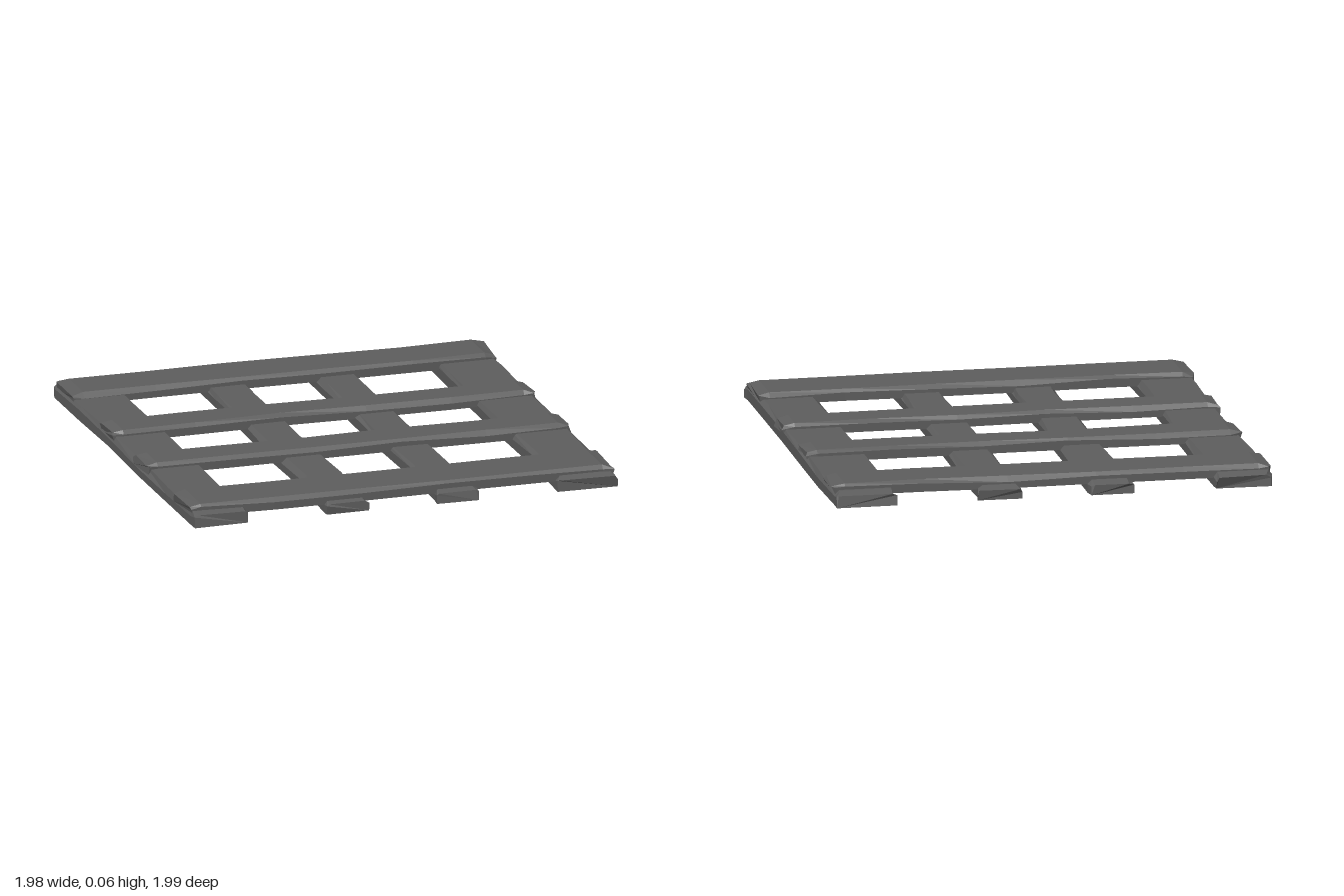
import * as THREE from 'three';

const material = new THREE.MeshStandardMaterial({ color: 0x5e5e5e, flatShading: true });

// Small seeded generator for the hand-hewn wear
let seed = 11;
const rand = () => (seed = (seed * 16807) % 2147483647) / 2147483647;

// Rough plank along x: chamfered six-sided sections joined in a loop.
// from/to: extent along x, a/b: extent across z, y0/y1: bottom and top
function plank(name, from, to, a, b, y0, y1) {
  const stations = [0, 0.03, 0.2, 0.4, 0.6, 0.8, 0.97, 1];
  const sides = 6, pos = [], index = [], h = y1 - y0;
  stations.forEach((t, i) => {
    const end = i === 0 || i === stations.length - 1;
    const x = from + (to - from) * t;
    const nick = () => rand() * 0.01;
    const l = a + nick(), r = b - nick();
    const cl = 0.006 + rand() * 0.012, cr = 0.006 + rand() * 0.012;
    const top = y1 - (end ? 0.008 : 0);
    const ml = y0 + h * (0.5 + rand() * 0.3), mr = y0 + h * (0.5 + rand() * 0.3);
    const ring = [[l, y0], [r, y0], [r, mr], [r - cr, top], [l + cl, top], [l, ml]];
    // the end faces are cut slightly askew
    ring.forEach(([z, y]) => {
      const skew = end ? (i === 0 ? 1 : -1) * rand() * 0.014 : 0;
      pos.push(x + skew, y, z);
    });
  });
  for (let i = 0; i < stations.length - 1; i++) {
    for (let j = 0; j < sides; j++) {
      const k = (j + 1) % sides;
      const p = i * sides + j, q = i * sides + k, s = p + sides, t = q + sides;
      index.push(p, s, q, q, s, t);
    }
  }
  // end caps
  const last = (stations.length - 1) * sides;
  for (let j = 1; j < sides - 1; j++) {
    index.push(0, j, j + 1, last, last + j + 1, last + j);
  }
  // outward winding
  for (let i = 0; i < index.length; i += 3) {
    [index[i + 1], index[i + 2]] = [index[i + 2], index[i + 1]];
  }
  let geometry = new THREE.BufferGeometry();
  geometry.setAttribute('position', new THREE.Float32BufferAttribute(pos, 3));
  geometry.setIndex(orient(index, pos));
  geometry = geometry.toNonIndexed();
  geometry.computeVertexNormals();
  const mesh = new THREE.Mesh(geometry, material);
  mesh.name = name;
  return mesh;
}

// Flip every face if the enclosed volume comes out negative
function orient(index, pos) {
  const v = (i) => new THREE.Vector3().fromArray(pos, i * 3);
  let volume = 0;
  for (let i = 0; i < index.length; i += 3) {
    volume += v(index[i]).dot(v(index[i + 1]).cross(v(index[i + 2])));
  }
  return volume < 0 ? index.slice().reverse() : index;
}

export function createModel() {
  const model = new THREE.Group();
  model.name = 'woodenLattice';
  const lattice = new THREE.Group();
  lattice.name = 'lattice';
  lattice.rotation.y = Math.PI / 4;
  model.add(lattice);

  // Upper boards: wide outer pair, narrow inner pair
  [[-0.675, -0.5], [-0.24, -0.105], [0.11, 0.245], [0.5, 0.69]].forEach(([a, b], i) => {
    lattice.add(plank(`topBoard${i + 1}`, -0.69, 0.7, a, b, 0.026, 0.063));
  });

  // Lower boards, running across beneath and poking out at both ends
  [[-0.69, -0.5], [-0.25, -0.105], [0.105, 0.25], [0.5, 0.7]].forEach(([a, b], i) => {
    const outer = i === 0 || i === 3;
    const board = plank(`crossBoard${i + 1}`, -0.72, 0.72, -b, -a, 0, outer ? 0.045 : 0.04);
    board.rotation.y = -Math.PI / 2;
    lattice.add(board);
  });

  return model;
}
